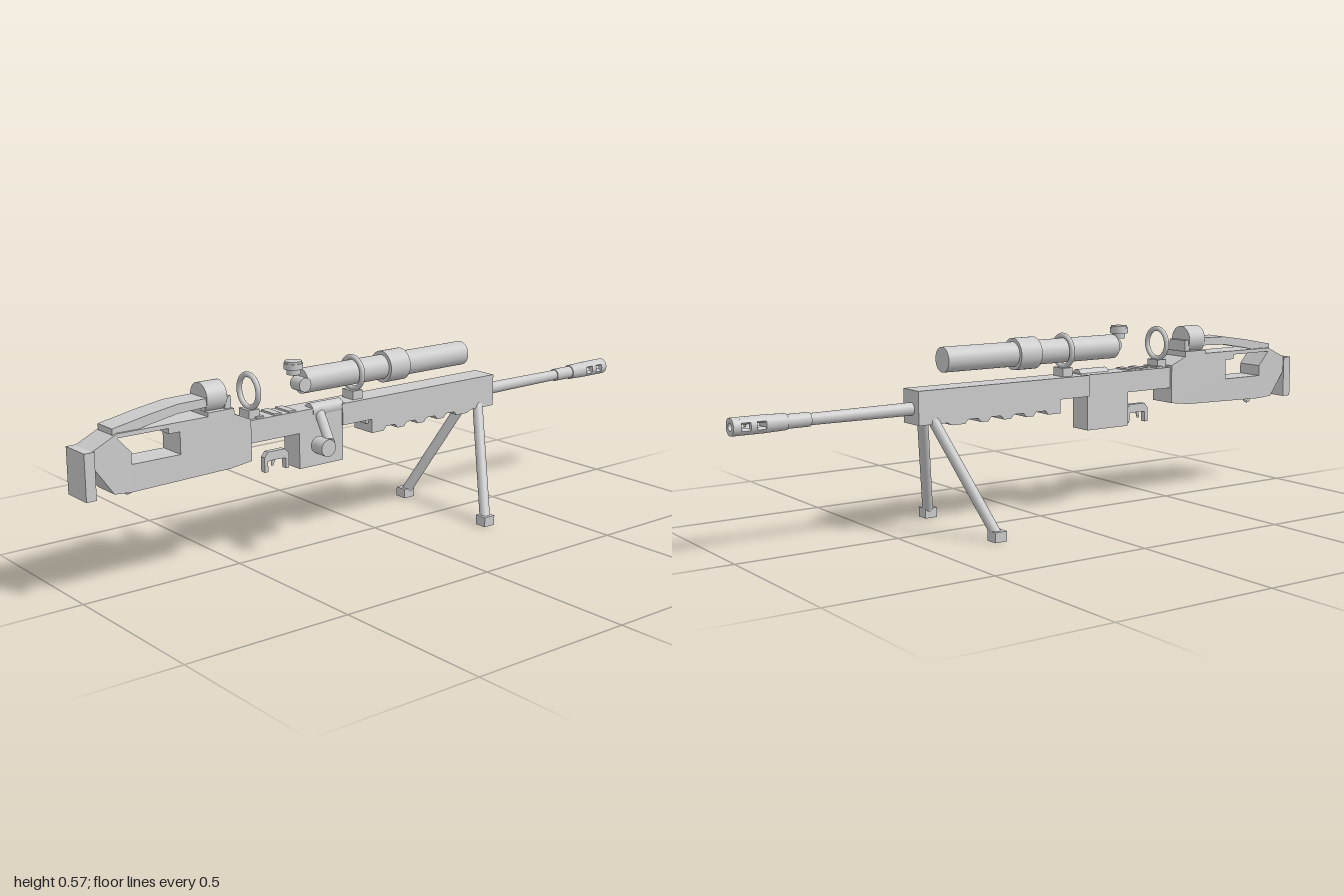
import * as THREE from 'three';

const material = new THREE.MeshStandardMaterial({ color: 0xcccccc, side: THREE.DoubleSide });

function add(group, name, geometry) {
  const mesh = new THREE.Mesh(geometry, material);
  mesh.name = name;
  group.add(mesh);
  return mesh;
}

// Box given by its centre and size
function box(group, name, x, y, z, w, h, d) {
  return add(group, name, new THREE.BoxGeometry(w, h, d).translate(x, y, z));
}

// Cylinder between two points
function rod(group, name, a, b, r0, r1 = r0, segments = 32) {
  const from = new THREE.Vector3(...a), to = new THREE.Vector3(...b);
  const dir = to.clone().sub(from);
  const mesh = add(group, name, new THREE.CylinderGeometry(r1, r0, dir.length(), segments));
  mesh.position.copy(from).addScaledVector(dir, 0.5);
  mesh.quaternion.setFromUnitVectors(new THREE.Vector3(0, 1, 0), dir.normalize());
  return mesh;
}

// Side profile of [z, y] points, extruded across x
function slab(group, name, points, width, hole) {
  const toPoints = (list) => list.map(([z, y]) => new THREE.Vector2(z, y));
  const shape = new THREE.Shape(toPoints(points));
  if (hole) shape.holes.push(new THREE.Path(toPoints(hole)));
  const geometry = new THREE.ExtrudeGeometry(shape, { depth: width, bevelEnabled: false });
  return add(group, name, geometry.translate(0, 0, -width / 2).rotateY(-Math.PI / 2));
}

// Sector of a tube wall running along z
function wall(group, name, y, z0, z1, outer, inner, start, end) {
  const shape = new THREE.Shape();
  shape.absarc(0, 0, outer, start, end, false);
  shape.absarc(0, 0, inner, end, start, true);
  const geometry = new THREE.ExtrudeGeometry(shape, { depth: z1 - z0, bevelEnabled: false, curveSegments: 32 });
  return add(group, name, geometry.translate(0, y, z0));
}

function buildStock(g) {
  slab(g, 'buttPad', [[1, 0.295], [0.97, 0.295], [0.97, 0.426], [1, 0.426]], 0.098);
  slab(g, 'stock', [
    [0.975, 0.426], [0.975, 0.385], [0.915, 0.3], [0.86, 0.296], [0.55, 0.303], [0.48, 0.312],
    [0.48, 0.432], [0.535, 0.456], [0.6, 0.462], [0.9, 0.462],
  ], 0.09, [
    [0.9, 0.45], [0.86, 0.405], [0.86, 0.372], [0.71, 0.372], [0.71, 0.435], [0.745, 0.435], [0.745, 0.45],
  ]);
  slab(g, 'cheekRest', [
    [0.91, 0.458], [0.91, 0.475], [0.8, 0.496], [0.71, 0.51], [0.6, 0.512],
    [0.6, 0.488], [0.71, 0.484], [0.8, 0.468], [0.85, 0.458],
  ], 0.076);
  box(g, 'cheekRestBase', 0, 0.464, 0.578, 0.092, 0.018, 0.085);
  rod(g, 'cheekRestKnob', [0, 0.507, 0.62], [0, 0.507, 0.555], 0.043);
  box(g, 'cheekRestBracket', 0, 0.49, 0.55, 0.074, 0.035, 0.02);
  const loop = add(g, 'slingLoop', new THREE.TorusGeometry(0.013, 0.004, 8, 24).rotateY(Math.PI / 2));
  loop.position.set(0, 0.294, 0.85);
}

function buildReceiver(g) {
  box(g, 'receiver', 0, 0.393, 0.315, 0.075, 0.066, 0.35);
  for (const z of [0.44, 0.38, 0.33]) box(g, 'receiverRib', 0, 0.427, z, 0.066, 0.008, 0.025);
  box(g, 'magazine', 0, 0.312, 0.23, 0.075, 0.115, 0.158);
  // Bolt, handle and knob on the left side
  rod(g, 'bolt', [0.018, 0.416, 0.26], [0.018, 0.416, 0.15], 0.022);
  rod(g, 'boltHandle', [0.02, 0.41, 0.225], [0.145, 0.352, 0.283], 0.015);
  rod(g, 'boltKnob', [0.107, 0.34, 0.295], [0.157, 0.34, 0.295], 0.025);
  // Trigger group
  slab(g, 'triggerGuard', [
    [0.412, 0.256], [0.412, 0.3], [0.4, 0.315], [0.34, 0.315], [0.327, 0.3], [0.327, 0.256],
    [0.338, 0.256], [0.338, 0.287], [0.375, 0.289], [0.4, 0.287], [0.4, 0.256],
  ], 0.018);
  rod(g, 'trigger', [0, 0.29, 0.375], [0, 0.27, 0.38], 0.005, 0.004, 12);
}

function buildForeEnd(g) {
  // Underside carries a row of tapered notches
  const profile = [[0.155, 0.425], [0.155, 0.36], [0.045, 0.36], [0.045, 0.318]];
  for (const z of [-0.04, -0.12, -0.2, -0.28]) {
    profile.push([z + 0.04, 0.318], [z + 0.03, 0.33], [z - 0.005, 0.33], [z - 0.015, 0.318]);
  }
  profile.push([-0.34, 0.318], [-0.355, 0.326], [-0.45, 0.326], [-0.45, 0.425]);
  slab(g, 'foreEnd', profile, 0.084);
  box(g, 'foreEndLatch', 0, 0.352, 0.05, 0.05, 0.014, 0.012);
}

function buildBarrel(g) {
  const y = 0.37;
  rod(g, 'barrel', [0, y, -0.44], [0, y, -0.85], 0.019, 0.016);
  rod(g, 'muzzleCollar', [0, y, -0.77], [0, y, -0.89], 0.02);
  // Muzzle brake: solid rings with side windows between them
  const full = Math.PI * 2;
  rod(g, 'muzzleBrakeRear', [0, y, -0.84], [0, y, -0.905], 0.023, 0.025);
  for (const [z0, z1] of [[-0.95, -0.932], [-1, -0.977]]) wall(g, 'muzzleBrakeRing', y, z0, z1, 0.025, 0.011, 0, full);
  for (const [z0, z1] of [[-0.932, -0.905], [-0.977, -0.95]]) {
    for (const middle of [Math.PI / 2, -Math.PI / 2]) {
      wall(g, 'muzzleBrakeBridge', y, z0, z1, 0.025, 0.011, middle - 1.1, middle + 1.1);
    }
  }
}

function buildScope(g) {
  const y = 0.503;
  rod(g, 'scopeTube', [0, y, 0.275], [0, y, -0.345], 0.037);
  rod(g, 'scopeCollar', [0, y, -0.025], [0, y, -0.1], 0.048);
  for (const z of [0.455, 0.085]) {
    const ring = add(g, 'scopeRing', new THREE.TorusGeometry(0.047, 0.008, 12, 48));
    ring.position.set(0, 0.501, z);
    box(g, 'scopeRingBase', 0, 0.437, z, 0.05, 0.028, 0.036);
  }
  // Adjustment knobs behind the tube
  rod(g, 'topKnobNeck', [0, 0.527, 0.3], [0, 0.549, 0.3], 0.02);
  rod(g, 'topKnob', [0, 0.543, 0.3], [0, 0.56, 0.3], 0.028);
  rod(g, 'topKnobCap', [0, 0.56, 0.3], [0, 0.566, 0.3], 0.025);
  rod(g, 'sideKnob', [0.005, y, 0.295], [0.05, y, 0.295], 0.021);
}

function buildBipod(g) {
  for (const side of [1, -1]) {
    rod(g, 'bipodLeg', [side * 0.03, 0.335, -0.395], [side * 0.187, 0.02, -0.287], 0.016);
    box(g, 'bipodFoot', side * 0.19, 0.015, -0.285, 0.04, 0.03, 0.04);
  }
}

export function createModel() {
  const model = new THREE.Group();
  model.name = 'scopedRifle';
  const parts = {
    stockGroup: buildStock, receiverGroup: buildReceiver, foreEndGroup: buildForeEnd,
    barrelGroup: buildBarrel, scopeGroup: buildScope, bipodGroup: buildBipod,
  };
  for (const [name, build] of Object.entries(parts)) {
    const group = new THREE.Group();
    group.name = name;
    build(group);
    model.add(group);
  }
  return model;
}
